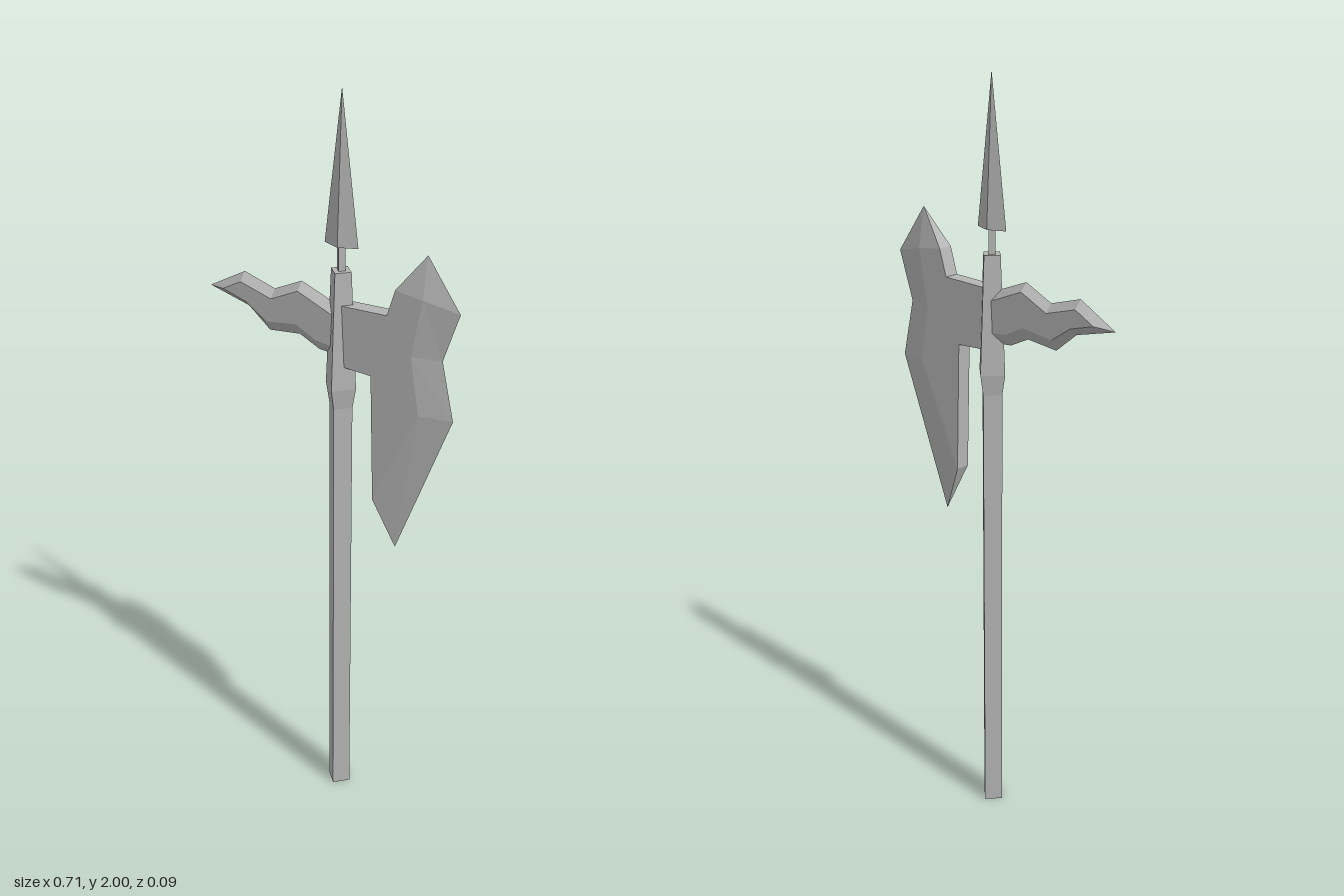
import * as THREE from 'three';

const CX = 0.033; // x of the shaft axis
const HALF = 0.02; // half thickness of the blades

// Four-sided turned part with hard edges, from [radius, y] pairs.
function diamondLathe(profile, depth = 1) {
  const g = new THREE.LatheGeometry(profile.map(([r, y]) => new THREE.Vector2(r, y)), 4).toNonIndexed();
  g.scale(1, 1, depth);
  g.translate(CX, 0, 0);
  g.computeVertexNormals();
  return g;
}

// Flat plate on both sides, joined to a rim at z = 0.
// Each row is [plateX, plateY, rimX, rimY], clockwise from the front.
function bevelledPlate(rows) {
  const plate = rows.map(([x, y]) => new THREE.Vector2(x, y));
  const rim = rows.map(([x, y, rx = x, ry = y]) => new THREE.Vector3(rx, ry, 0));
  const faces = THREE.ShapeUtils.triangulateShape(plate.slice(), []);
  const pos = [];
  for (const side of [1, -1]) {
    const inner = plate.map((p) => new THREE.Vector3(p.x, p.y, side * HALF));
    const add = (a, b, c) => {
      if (new THREE.Triangle(a, b, c).getArea() < 1e-7) return;
      for (const v of side > 0 ? [a, c, b] : [a, b, c]) pos.push(v.x, v.y, v.z);
    };
    for (const [i, j, k] of faces) {
      const a = plate[i], b = plate[j], c = plate[k];
      const clockwise = (b.x - a.x) * (c.y - a.y) - (b.y - a.y) * (c.x - a.x) < 0;
      if (clockwise) add(inner[i], inner[j], inner[k]);
      else add(inner[i], inner[k], inner[j]);
    }
    for (let i = 0; i < rows.length; i++) {
      const n = (i + 1) % rows.length;
      add(inner[i], rim[i], rim[n]);
      add(inner[i], rim[n], inner[n]);
    }
  }
  const g = new THREE.BufferGeometry();
  g.setAttribute('position', new THREE.Float32BufferAttribute(pos, 3));
  g.computeVertexNormals();
  return g;
}

export function createModel() {
  const group = new THREE.Group();
  const steel = new THREE.MeshStandardMaterial({ color: 0xb4b4b4 });
  steel.name = 'steel grey';
  const add = (name, geometry) => {
    const mesh = new THREE.Mesh(geometry, steel);
    mesh.name = name;
    group.add(mesh);
  };

  // Pole, widening into the socket that holds the blades
  add('shaft', diamondLathe([[0, 0], [0.034, 0], [0.034, 1.2]]));
  add('socket', diamondLathe([[0.034, 1.2], [0.044, 1.255], [0.029, 1.56], [0, 1.56]]));

  // Spear point on a thin neck
  add('spearNeck', diamondLathe([[0.012, 1.55], [0.012, 1.63]]));
  add('spearHead', diamondLathe([[0, 1.622], [0.047, 1.622], [0, 2]], 0.4));

  // Axe blade: square back edge, sharp front edge
  add('axeBlade', bevelledPlate([
    [0.03, 1.476],
    [0.172, 1.481],
    [0.193, 1.55],
    [0.267, 1.54, 0.267, 1.645],
    [0.267, 1.54, 0.357, 1.518],
    [0.24, 1.39, 0.315, 1.39],
    [0.264, 1.24, 0.349, 1.238],
    [0.264, 1.24, 0.198, 0.836],
    [0.14, 0.968, 0.198, 0.836],
    [0.14, 0.968],
    [0.13, 1.312],
    [0.03, 1.317],
  ]));

  // Wavy rear spike, sharp all round
  add('rearSpike', bevelledPlate([
    [0.03, 1.362, 0.03, 1.333],
    [-0.03, 1.37, -0.03, 1.338],
    [-0.087, 1.398, -0.087, 1.365],
    [-0.177, 1.385, -0.177, 1.355],
    [-0.235, 1.425, -0.24, 1.407],
    [-0.305, 1.445, -0.357, 1.437],
    [-0.25, 1.475, -0.25, 1.497],
    [-0.16, 1.449, -0.16, 1.47],
    [-0.08, 1.487, -0.08, 1.508],
    [0.03, 1.442, 0.03, 1.465],
  ]));

  return group;
}
